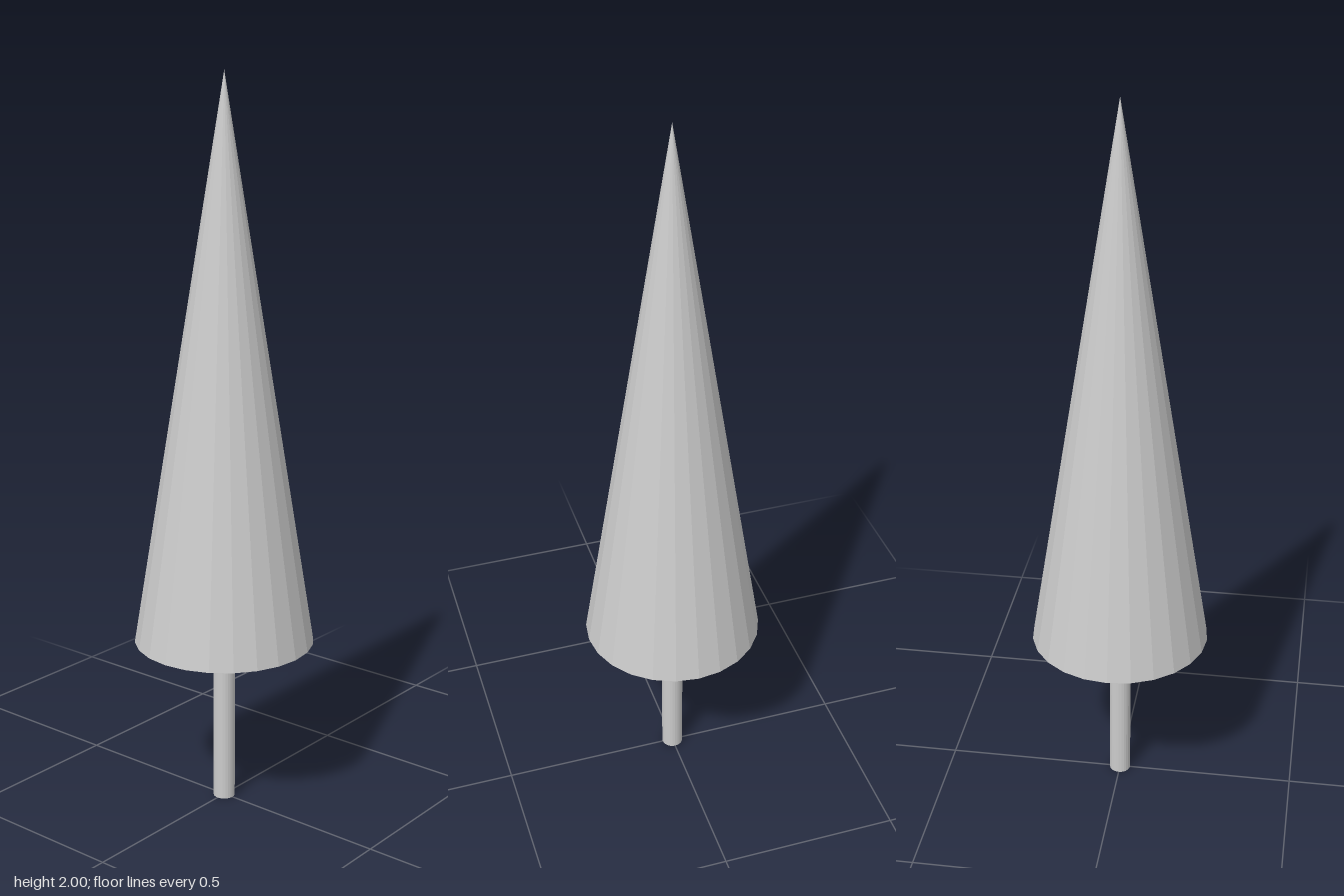
import * as THREE from 'three';

const SIDES = 24;
const CROWN_BASE = 0.47;
const HEIGHT = 2;

export function createModel() {
  const tree = new THREE.Group();
  tree.name = 'coneTree';
  const material = new THREE.MeshStandardMaterial({ color: 0xcccccc, flatShading: true });

  // Adds a part standing on the given height
  const addPart = (name, geometry, height, bottom) => {
    const mesh = new THREE.Mesh(geometry, material);
    mesh.name = name;
    mesh.position.y = bottom + height / 2;
    tree.add(mesh);
  };

  // Slim straight trunk
  addPart('trunk', new THREE.CylinderGeometry(0.03, 0.03, CROWN_BASE, SIDES), CROWN_BASE, 0);

  // Tall faceted crown with a closed underside
  const crownHeight = HEIGHT - CROWN_BASE;
  addPart('crown', new THREE.ConeGeometry(0.247, crownHeight, SIDES), crownHeight, CROWN_BASE);

  return tree;
}
